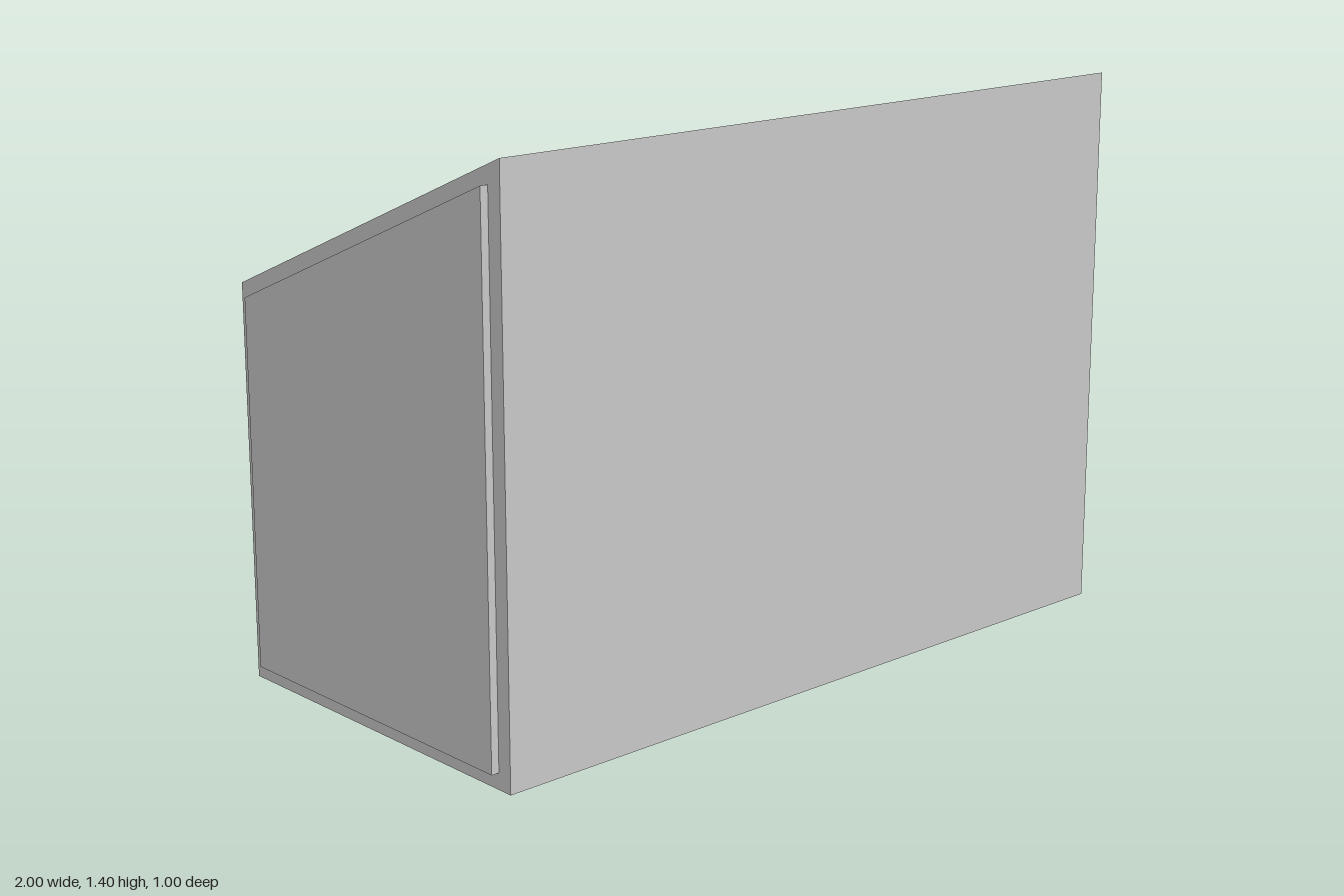
import * as THREE from 'three';

const FRONT = 0.5, BACK = -0.48, SLOPE = 0.415 / 0.98;
const ANGLE = Math.atan(SLOPE), SIN = Math.sin(ANGLE), COS = Math.cos(ANGLE);
const topY = (z) => 0.985 + (z - BACK) * SLOPE;

export function createModel() {
  const model = new THREE.Group();
  const material = new THREE.MeshStandardMaterial({ color: 0xcccccc, flatShading: true });

  const add = (name, geometry) => {
    const mesh = new THREE.Mesh(geometry, material);
    mesh.name = name;
    model.add(mesh);
    return mesh;
  };

  // Extrude a side profile of [z, y] points across x, centred on the given x
  const slab = (name, points, width, x = 0) => {
    const shape = new THREE.Shape(points.map(([z, y]) => new THREE.Vector2(z, y)));
    const geometry = new THREE.ExtrudeGeometry(shape, { depth: width, bevelEnabled: false });
    geometry.translate(0, 0, -width / 2).rotateY(-Math.PI / 2).translate(x, 0, 0);
    return add(name, geometry);
  };

  // A point on the sloping top, sunk at right angles to it
  const onSlope = (z, depth = 0) => [z + SIN * depth, topY(z) - COS * depth];

  // Main body, with the lid recess notched into its sloping top
  const recess = 0.055;
  slab('body', [
    [BACK, 0], [FRONT, 0], onSlope(FRONT),
    onSlope(0.46), onSlope(0.46, recess),
    onSlope(-0.445, recess), onSlope(-0.445), onSlope(BACK),
  ], 1.88);

  // Lid sitting in the recess and standing slightly proud of the rim
  const proud = 0.011;
  const lidFront = 0.412 + SIN * proud, lidBack = -0.426 + SIN * proud;
  slab('lid', [
    onSlope(lidBack, recess), onSlope(lidFront, recess),
    onSlope(lidFront, -proud), onSlope(lidBack, -proud),
  ], 1.81);

  for (const side of [-1, 1]) {
    const label = side > 0 ? 'left' : 'right';
    // End walls close the recess
    slab(label + 'Wall', [
      [BACK, 0], [FRONT, 0], onSlope(FRONT), onSlope(BACK),
    ], 0.04, side * 0.96);
    // Raised side panels
    slab(label + 'Panel', [
      [-0.44, 0.04], [0.46, 0.04], [0.46, 1.34], [-0.44, 0.958],
    ], 0.02, side * 0.99);
  }

  // Raised back panel
  add('backPanel', new THREE.BoxGeometry(1.835, 0.85, 0.022)).position.set(0, 0.495, -0.489);

  return model;
}
